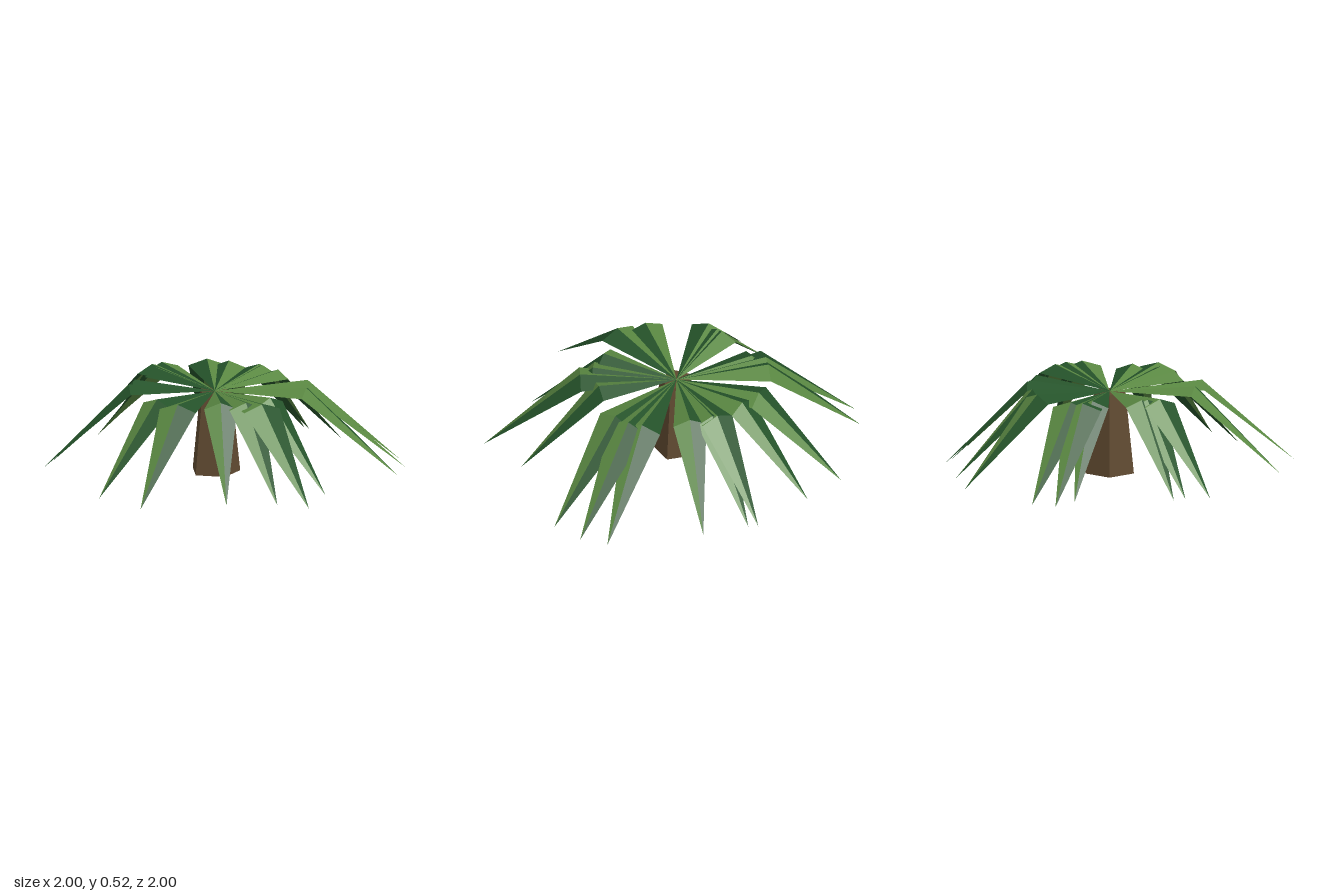
import * as THREE from 'three';

const CENTRE = { x: -0.067, y: 0.47, z: -0.037 };

// Ground position (x, z) of every frond tip, going round the crown
const TIPS = [
  [-0.37, -1.0], [-0.11, -0.97], [0.26, -0.91], [0.3, -0.87], [0.52, -0.72],
  [0.94, -0.36], [1.0, -0.21], [1.0, -0.02], [0.69, 0.48], [0.66, 0.78],
  [0.47, 0.75], [0.19, 0.82], [-0.27, 1.0], [-0.55, 0.82], [-1.0, 0.26],
  [-0.98, 0.12], [-0.98, 0.05], [-0.85, -0.5], [-0.93, -0.64], [-0.84, -0.75],
];

function material(name, color) {
  const m = new THREE.MeshStandardMaterial({ color, flatShading: true });
  m.name = name;
  return m;
}

// One half of a folded frond along +z: inner triangle plus drooping outer triangle
function halfFrond(side, length) {
  const base = [0, 0, 0];
  const ridge = [0, 0.052, length * 0.5];
  const edge = [side * 0.105 * length, 0.015, length * 0.5];
  const tip = [0, 0.04 - CENTRE.y, length];
  const points = side > 0
    ? [base, ridge, edge, ridge, tip, edge]
    : [base, edge, ridge, ridge, edge, tip];
  const g = new THREE.BufferGeometry();
  g.setAttribute('position', new THREE.Float32BufferAttribute(points.flat(), 3));
  g.computeVertexNormals();
  return g;
}

export function createModel() {
  const model = new THREE.Group();
  model.name = 'palm';

  const bark = material('bark brown', 0x5f4930);
  const light = material('light leaf green', 0x5a8842);
  const dark = material('dark leaf green', 0x25532a);
  light.side = dark.side = THREE.DoubleSide;

  // Tapered five-sided trunk, flat face to the front
  const trunk = new THREE.Mesh(new THREE.CylinderGeometry(0.095, 0.145, CENTRE.y, 5), bark);
  trunk.name = 'trunk';
  trunk.rotation.y = Math.PI;
  trunk.position.set(CENTRE.x, CENTRE.y / 2, CENTRE.z);
  model.add(trunk);

  // Crown of fronds, each with a light and a dark half
  const crown = new THREE.Group();
  crown.name = 'crown';
  crown.position.set(CENTRE.x, CENTRE.y, CENTRE.z);
  for (const [x, z] of TIPS) {
    const dx = x - CENTRE.x, dz = z - CENTRE.z;
    const length = Math.hypot(dx, dz);
    const frond = new THREE.Group();
    frond.name = 'frond';
    frond.rotation.y = Math.atan2(dx, dz);
    for (const side of [-1, 1]) {
      const half = new THREE.Mesh(halfFrond(side, length), side < 0 ? light : dark);
      half.name = side < 0 ? 'lightHalf' : 'darkHalf';
      frond.add(half);
    }
    crown.add(frond);
  }
  model.add(crown);
  return model;
}
